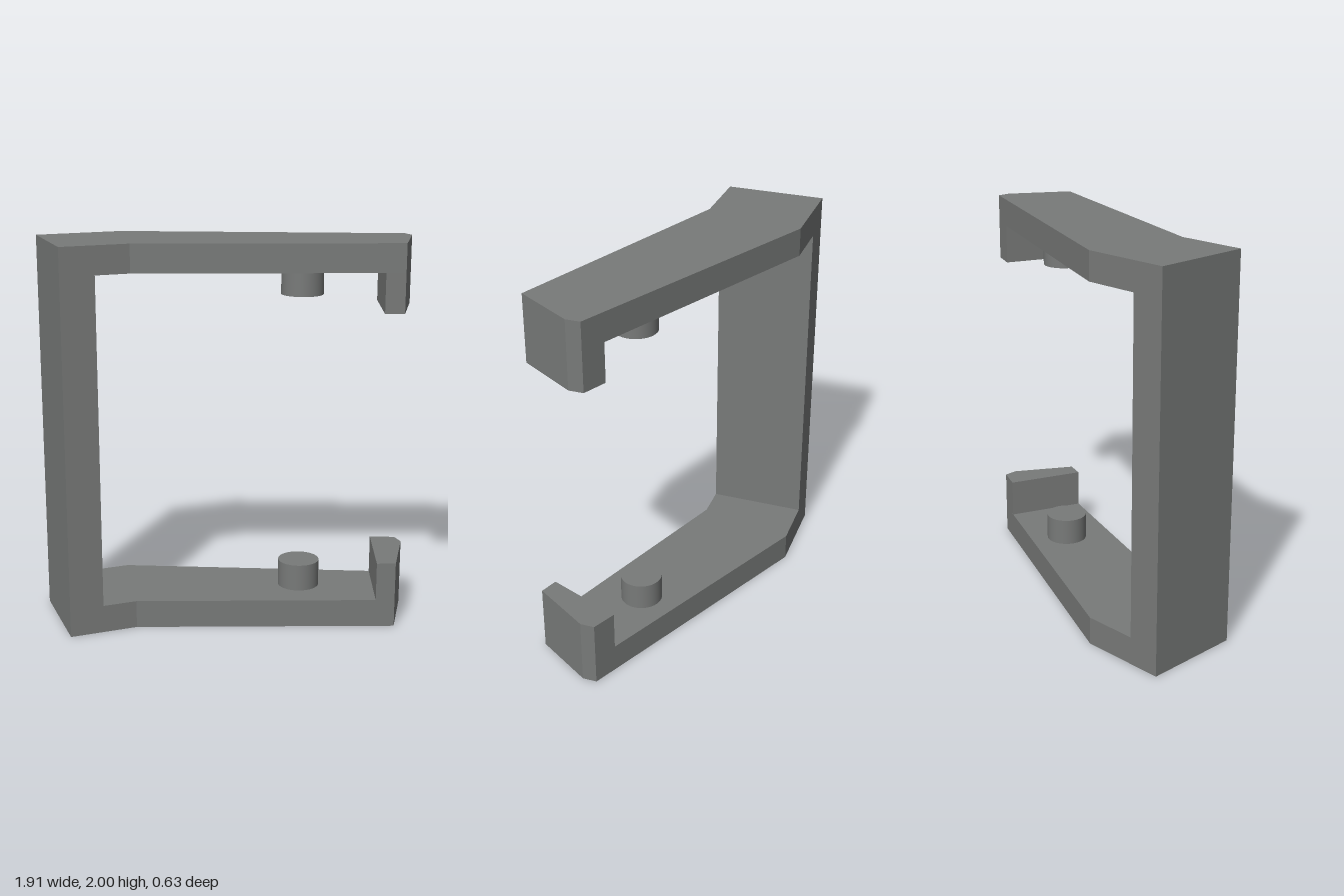
import * as THREE from 'three';

const material = new THREE.MeshStandardMaterial({ color: 0x787a79 });

// Upright prism from a plan outline of [x, z] points, spanning y0..y1
function prism(name, outline, y0, y1) {
  const shape = new THREE.Shape(outline.map(([x, z]) => new THREE.Vector2(x, -z)));
  const geometry = new THREE.ExtrudeGeometry(shape, { depth: y1 - y0, bevelEnabled: false });
  geometry.rotateX(-Math.PI / 2).translate(0, y0, 0);
  const mesh = new THREE.Mesh(geometry, material);
  mesh.name = name;
  return mesh;
}

export function createModel() {
  const model = new THREE.Group();
  model.name = 'bracket';
  const height = 2, thick = 0.145, lipTop = 0.347, pegHeight = 0.14;

  // Plan outlines: the bent arm, the post at its wide end, the lip at its tip
  const arm = [[-0.955, -0.172], [-0.53, -0.315], [0.932, -0.155], [0.955, -0.085],
    [0.873, 0.246], [-0.47, 0.203], [-0.805, 0.315]];
  const post = [[-0.955, -0.172], [-0.795, -0.2258], [-0.638, 0.2592], [-0.805, 0.315]];
  const lip = [[0.8, -0.1694], [0.932, -0.155], [0.955, -0.085], [0.873, 0.246], [0.775, 0.2429]];

  model.add(prism('post', post, thick, height - thick));

  // Lower and upper arms, each with a lip and a round peg facing inward
  for (const [side, upper] of [['lower', false], ['upper', true]]) {
    const span = (a, b) => (upper ? [height - b, height - a] : [a, b]);
    model.add(prism(side + 'Arm', arm, ...span(0, thick)));
    model.add(prism(side + 'Lip', lip, ...span(thick, lipTop)));

    const peg = new THREE.Mesh(new THREE.CylinderGeometry(0.108, 0.108, pegHeight, 48), material);
    const y = thick + pegHeight / 2;
    peg.position.set(0.393, upper ? height - y : y, -0.012);
    peg.name = side + 'Peg';
    model.add(peg);
  }
  return model;
}
